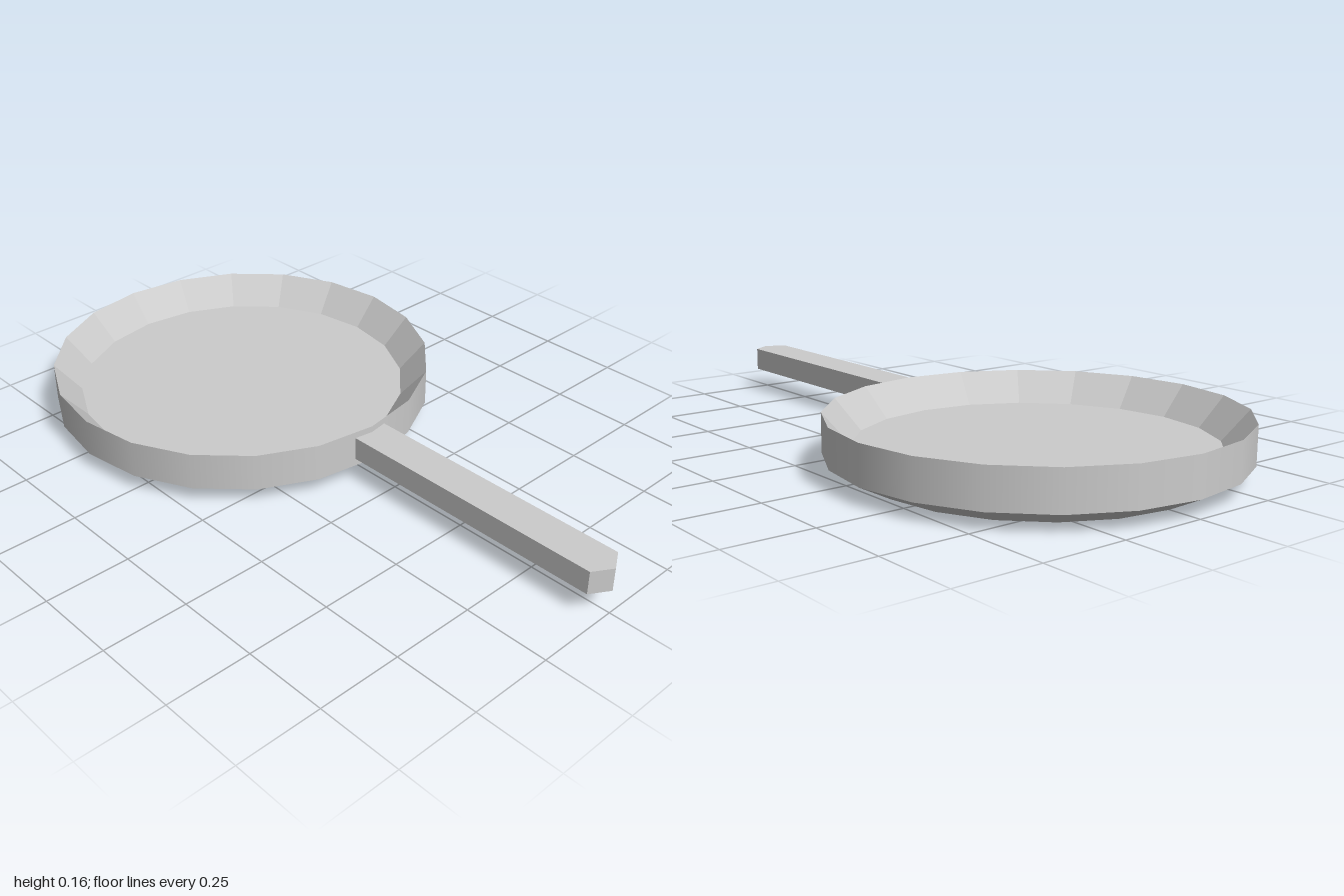
import * as THREE from 'three';

const SIDES = 20;

export function createModel() {
  const smooth = new THREE.MeshStandardMaterial({ color: 0xcccccc });
  const flat = new THREE.MeshStandardMaterial({ color: 0xcccccc, flatShading: true });
  const model = new THREE.Group();
  model.name = 'fryingPan';

  // Pan body: rings turned around one axis, [radius, height] from start to end
  const pan = new THREE.Group();
  pan.name = 'pan';
  pan.position.x = -0.423;
  model.add(pan);
  const ring = (name, profile, material) => {
    const points = profile.map(([r, y]) => new THREE.Vector2(r, y));
    const mesh = new THREE.Mesh(new THREE.LatheGeometry(points, SIDES), material);
    mesh.name = name;
    pan.add(mesh);
  };
  ring('base', [[0, 0], [0.48, 0]], flat);
  ring('lowerBevel', [[0.48, 0], [0.577, 0.048]], flat);
  ring('outerWall', [[0.577, 0.048], [0.577, 0.16]], smooth);
  ring('innerWall', [[0.577, 0.16], [0.5, 0.072]], flat);
  ring('cookingSurface', [[0.5, 0.072], [0, 0.072]], flat);

  // Handle: straight bar with a shallow pointed end, outlined from above
  const outline = new THREE.Shape();
  outline.moveTo(0.142, -0.057);
  outline.lineTo(0.965, -0.057);
  outline.lineTo(1, 0);
  outline.lineTo(0.965, 0.057);
  outline.lineTo(0.142, 0.057);
  outline.closePath();
  const bar = new THREE.ExtrudeGeometry(outline, { depth: 0.07, bevelEnabled: false });
  bar.rotateX(-Math.PI / 2);
  const handle = new THREE.Mesh(bar, flat);
  handle.name = 'handle';
  handle.position.y = 0.071;
  model.add(handle);

  return model;
}
